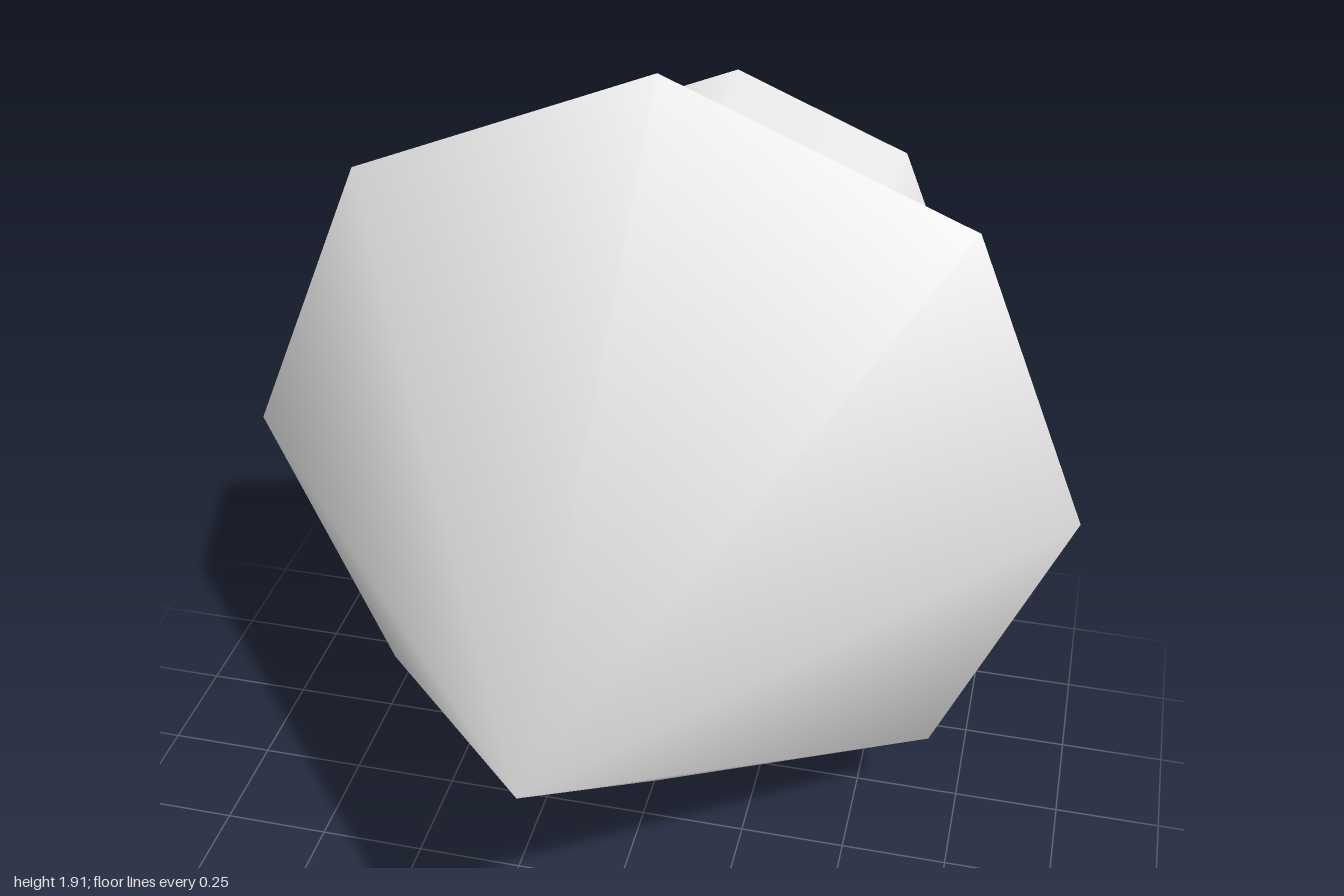
import * as THREE from 'three';

const SIDES = 8;
const CENTRE_Y = 0.955;
const JOINT_Z = -0.12;

// Tapered eight-sided solid lying along z
function taper(name, frontRadius, backRadius, frontZ, backZ, material) {
  const geometry = new THREE.CylinderGeometry(frontRadius, backRadius, frontZ - backZ, SIDES);
  geometry.rotateX(Math.PI / 2);
  geometry.translate(0, CENTRE_Y, (frontZ + backZ) / 2);
  const mesh = new THREE.Mesh(geometry, material);
  mesh.name = name;
  return mesh;
}

export function createModel() {
  const group = new THREE.Group();
  group.name = 'arrow';
  const grey = new THREE.MeshStandardMaterial({ color: 0xe7e7e7 });
  grey.name = 'light grey';

  // Pointed head, its tip rounded off in shading
  const head = taper('arrowHead', 0, 0.953, 1, JOINT_Z, grey);
  const { position, normal } = head.geometry.attributes;
  for (let i = 0; i < position.count; i++) {
    if (position.getZ(i) > 0.99) normal.setXYZ(i, 0, 0, 1);
  }

  // Shaft, widening towards the back
  const shaft = taper('shaft', 0.373, 0.607, JOINT_Z, -1, grey);

  group.add(head, shaft);
  return group;
}
